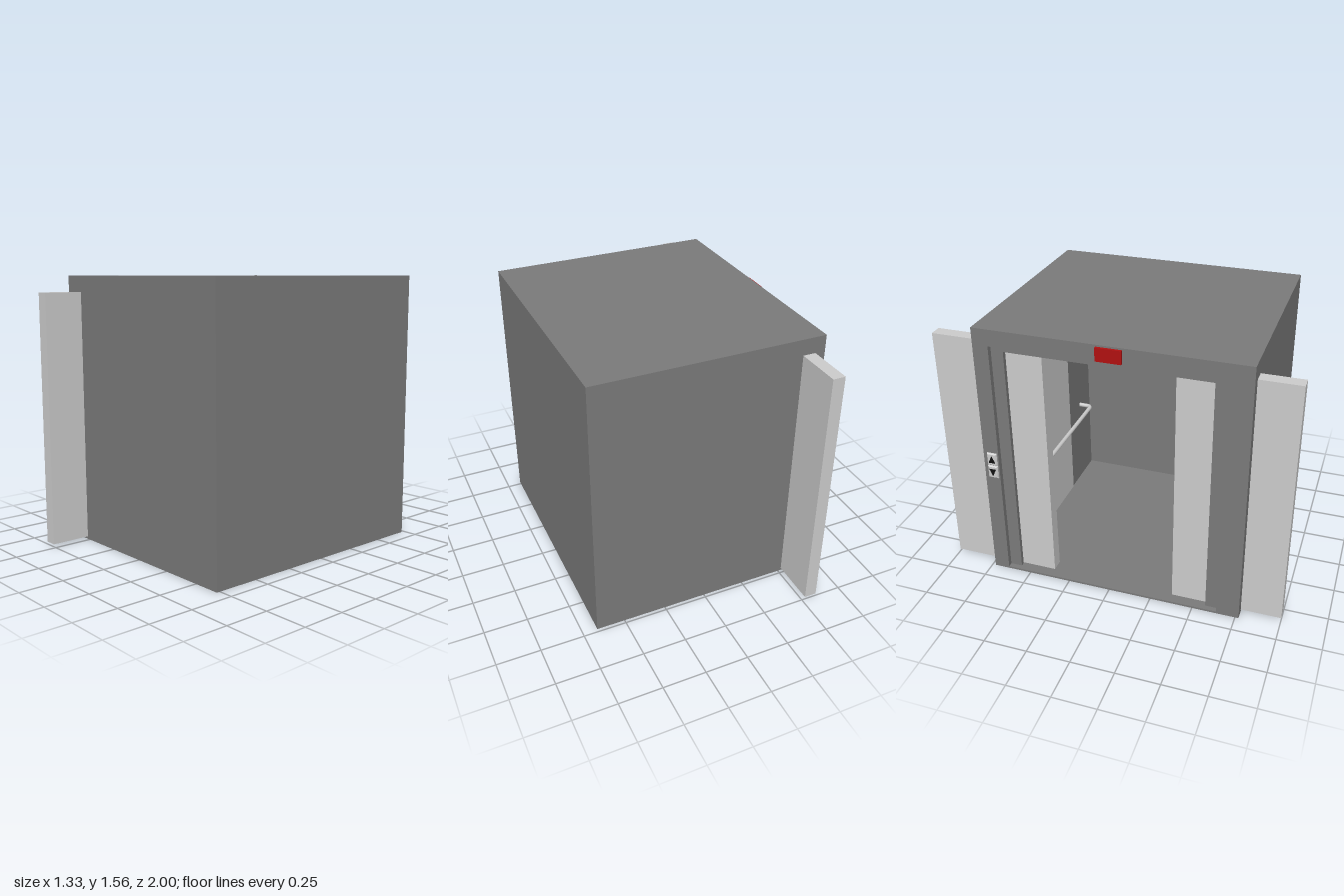
import * as THREE from 'three';

const mat = (color) => new THREE.MeshStandardMaterial({ color });
const GREY = mat(0xcccccc), DARK = mat(0x7a7a7a), BLACK = mat(0x111111), RED = mat(0xb01010);

export function createModel() {
  const model = new THREE.Group();

  const add = (name, geometry, material, parent = model) => {
    const mesh = new THREE.Mesh(geometry, material);
    mesh.name = name;
    parent.add(mesh);
    return mesh;
  };

  // Box given by its limits on each axis
  const block = (name, material, [x0, x1], [y0, y1], [z0, z1], parent) => {
    const g = new THREE.BoxGeometry(x1 - x0, y1 - y0, z1 - z0);
    g.translate((x0 + x1) / 2, (y0 + y1) / 2, (z0 + z1) / 2);
    return add(name, g, material, parent);
  };

  const outline = (Type, z0, z1, y0, y1) => new Type([
    new THREE.Vector2(z0, y0), new THREE.Vector2(z1, y0),
    new THREE.Vector2(z1, y1), new THREE.Vector2(z0, y1),
  ]);

  // Extrudes a (z, y) shape from x1 towards -x
  const slab = (shape, x0, x1) => {
    const g = new THREE.ExtrudeGeometry(shape, { depth: x1 - x0, bevelEnabled: false });
    return g.rotateY(-Math.PI / 2).translate(x1, 0, 0);
  };

  // Cabin shell
  const X = [-0.65, 0.665], Z = [-0.73, 0.77], H = 1.56;
  const inZ = [-0.6, 0.625], floorY = 0.012, ceilingY = 1.48;
  const inside = [-0.595, X[1]];
  block('floor', DARK, inside, [0, floorY], Z);
  block('ceiling', DARK, inside, [ceilingY, H], Z);
  block('rearWall', DARK, [0.62, X[1]], [floorY, ceilingY], Z);
  block('sideWall', DARK, [-0.595, 0.62], [floorY, ceilingY], [Z[0], inZ[0]]);
  block('sideWall', DARK, [-0.595, 0.62], [floorY, ceilingY], [inZ[1], Z[1]]);

  // Entrance wall with a stepped door opening
  [
    ['entranceWall', -0.65, -0.62, 0.64, 1.465],
    ['doorFrame', -0.62, -0.595, 0.57, 1.43],
  ].forEach(([name, x0, x1, half, top]) => {
    const shape = outline(THREE.Shape, Z[0], Z[1], 0, H);
    shape.holes.push(outline(THREE.Path, -half, half, floorY, top));
    add(name, slab(shape, x0, x1), DARK);
  });

  // Half-open sliding doors
  for (const s of [-1, 1]) {
    const z = [0.365 * s, s].sort((a, b) => a - b);
    block('slidingDoor', GREY, [-0.592, -0.52], [0.015, 1.467], z);
  }

  // Light panel and handrail on each side wall
  inZ.forEach((wall) => {
    const s = -Math.sign(wall);
    const z = [wall, wall + s * 0.004].sort((a, b) => a - b);
    block('wallPanel', GREY, [-0.165, 0.27], [floorY, ceilingY], z);
    const path = new THREE.CurvePath();
    const p = (x, out) => new THREE.Vector3(x, 0.56, wall + s * out);
    path.add(new THREE.LineCurve3(p(-0.35, 0), p(-0.35, 0.05)));
    path.add(new THREE.QuadraticBezierCurve3(p(-0.35, 0.05), p(-0.35, 0.08), p(-0.32, 0.08)));
    path.add(new THREE.LineCurve3(p(-0.32, 0.08), p(0.42, 0.08)));
    path.add(new THREE.QuadraticBezierCurve3(p(0.42, 0.08), p(0.45, 0.08), p(0.45, 0.05)));
    path.add(new THREE.LineCurve3(p(0.45, 0.05), p(0.45, 0)));
    add('handrail', new THREE.TubeGeometry(path, 80, 0.013, 10), GREY);
  });

  // Framed screen on one wall
  block('screenFrame', GREY, [-0.12, 0.22], [0.83, 1.11], [0.595, 0.625]);
  block('screen', BLACK, [-0.105, 0.205], [0.845, 1.095], [0.592, 0.6]);

  // Indicator above the entrance
  block('indicator', RED, [-0.665, -0.65], [1.475, 1.55], [-0.04, 0.1]);

  // Call buttons with up and down arrows
  for (const s of [1, -1]) {
    const button = new THREE.Group();
    button.name = 'callButton';
    button.position.set(0, 0.728 + s * 0.041, -0.677);
    const plate = new THREE.ExtrudeGeometry(outline(THREE.Shape, -0.024, 0.024, -0.033, 0.033), {
      depth: 0.006, bevelThickness: 0.006, bevelSize: 0.006, bevelSegments: 1,
    });
    add('buttonPlate', plate.rotateY(-Math.PI / 2).translate(-0.65, 0, 0), GREY, button);
    const arrow = new THREE.Shape([
      new THREE.Vector2(-0.02, -0.02), new THREE.Vector2(0.02, -0.02), new THREE.Vector2(0, 0.024),
    ]);
    const mesh = add('buttonArrow', slab(arrow, -0.665, -0.655), BLACK, button);
    if (s < 0) mesh.rotation.x = Math.PI;
    model.add(button);
  }

  return model;
}
